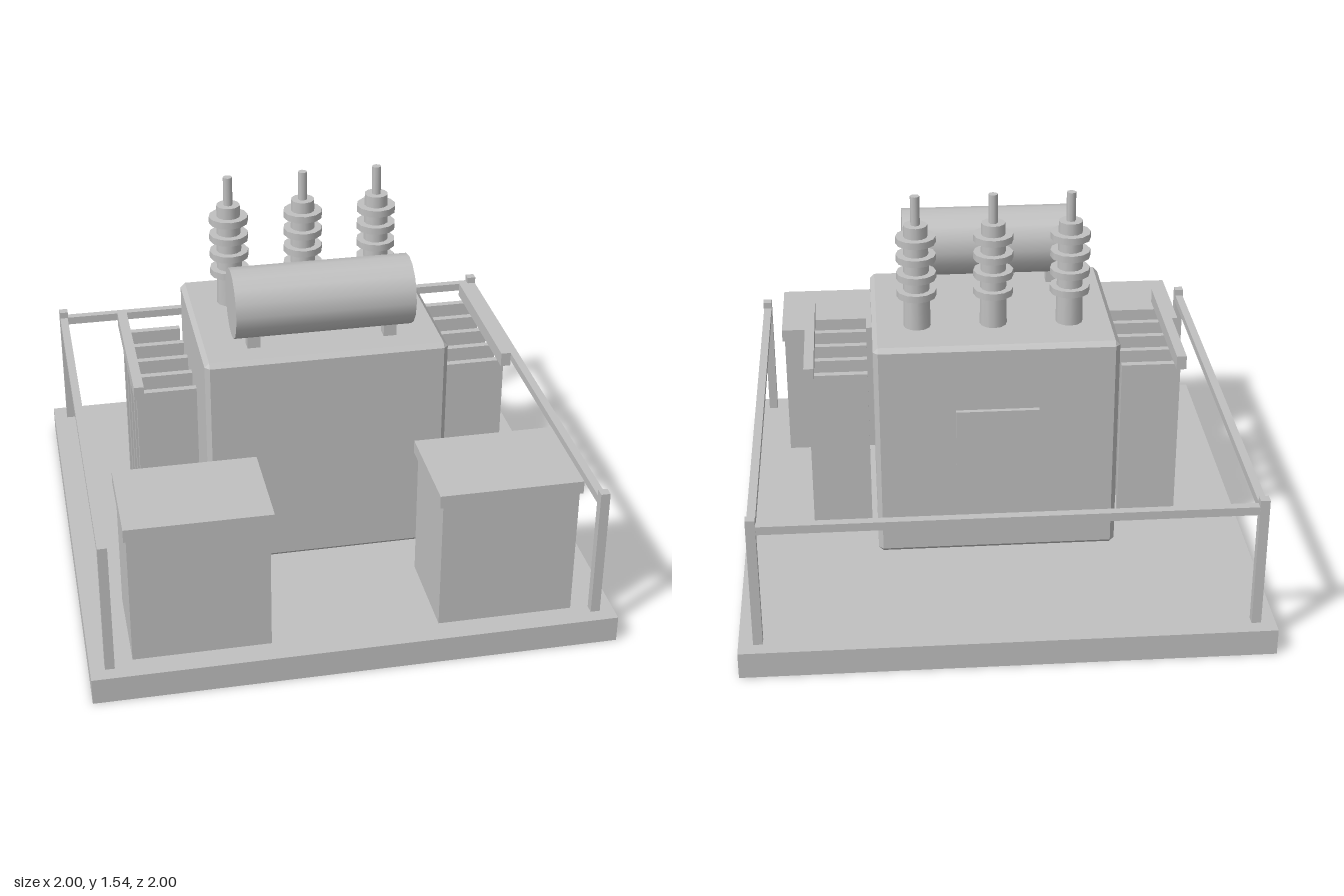
import * as THREE from 'three';
import { ConvexGeometry } from 'three/addons/geometries/ConvexGeometry.js';

export function createModel() {
  const root = new THREE.Group();
  root.name = 'transformerStation';
  const grey = new THREE.MeshStandardMaterial({ color: 0xc0c0c0 });
  grey.name = 'light grey';

  const add = (name, geometry, x = 0, y = 0, z = 0, parent = root) => {
    const mesh = new THREE.Mesh(geometry, grey);
    mesh.name = name;
    mesh.position.set(x, y, z);
    parent.add(mesh);
    return mesh;
  };
  // Box given by its limits on each axis
  const box = (name, [x0, x1], [y0, y1], [z0, z1], parent = root) =>
    add(name, new THREE.BoxGeometry(x1 - x0, y1 - y0, z1 - z0),
      (x0 + x1) / 2, (y0 + y1) / 2, (z0 + z1) / 2, parent);
  const group = (name) => {
    const g = new THREE.Group();
    g.name = name;
    root.add(g);
    return g;
  };

  // Foundation slab
  box('baseSlab', [-1, 1], [0, 0.105], [-1, 1]);

  // Main tank with chamfered edges
  const hx = 0.47, hy = 0.4475, hz = 0.366, c = 0.018;
  const corners = [];
  for (const sx of [-1, 1]) for (const sy of [-1, 1]) for (const sz of [-1, 1]) {
    corners.push(
      new THREE.Vector3(sx * hx, sy * (hy - c), sz * (hz - c)),
      new THREE.Vector3(sx * (hx - c), sy * hy, sz * (hz - c)),
      new THREE.Vector3(sx * (hx - c), sy * (hy - c), sz * hz));
  }
  add('tank', new ConvexGeometry(corners), 0, 0.5605, 0);

  // Plate on the back of the tank
  box('backPlate', [-0.16, 0.16], [0.518, 0.748], [-0.398, -0.38]);

  // Oil conservator drum on two feet
  const drum = add('conservatorDrum', new THREE.CylinderGeometry(0.135, 0.135, 0.685, 16),
    -0.006, 1.193, 0.235);
  drum.rotation.z = Math.PI / 2;
  for (const x of [-0.267, 0.263]) {
    box('conservatorFoot', [x - 0.025, x + 0.025], [1.0, 1.08], [0.21, 0.26]);
  }

  // Bushings: tapered core, four sheds and a terminal rod
  for (const x of [-0.295, 0, 0.295]) {
    const bushing = group('bushing');
    bushing.position.set(x, 0, -0.153);
    add('core', new THREE.CylinderGeometry(0.046, 0.053, 0.425, 12), 0, 1.2125, 0, bushing);
    for (let i = 0; i < 4; i++) {
      add('shed', new THREE.CylinderGeometry(0.077, 0.077, 0.027, 12), 0, 1.147 + i * 0.073, 0, bushing);
    }
    add('terminalRod', new THREE.CylinderGeometry(0.018, 0.018, 0.13, 8), 0, 1.475, 0, bushing);
  }

  for (const s of [-1, 1]) {
    const side = (a, b) => (s > 0 ? [a, b] : [-b, -a]);

    // Radiator fins and header bar
    const radiator = group(s > 0 ? 'leftRadiator' : 'rightRadiator');
    for (let i = -2; i <= 2; i++) {
      const z = i * 0.126;
      box('fin', side(0.492, 0.722), [0.2, 0.858], [z - 0.0135, z + 0.0135], radiator);
    }
    box('headerBar', side(0.697, 0.735), [0.858, 0.913], [-0.315, 0.315], radiator);

    // Control cabinet with overhanging lid
    const cabinet = group(s > 0 ? 'leftCabinet' : 'rightCabinet');
    box('cabinetBody', side(0.32, 0.84), [0.105, 0.632], [0.527, 0.905], cabinet);
    box('cabinetLid', side(0.305, 0.85), [0.632, 0.683], [0.517, 0.917], cabinet);

    // Side fence
    for (const z of [-0.927, 0.927]) {
      box('fencePost', side(0.909, 0.945), [0.105, 0.635], [z - 0.018, z + 0.018]);
    }
    box('sideRail', side(0.911, 0.943), [0.575, 0.608], [-0.91, 0.91]);
  }

  // Rear fence rail
  box('rearRail', [-0.91, 0.91], [0.575, 0.608], [-0.943, -0.911]);

  return root;
}
